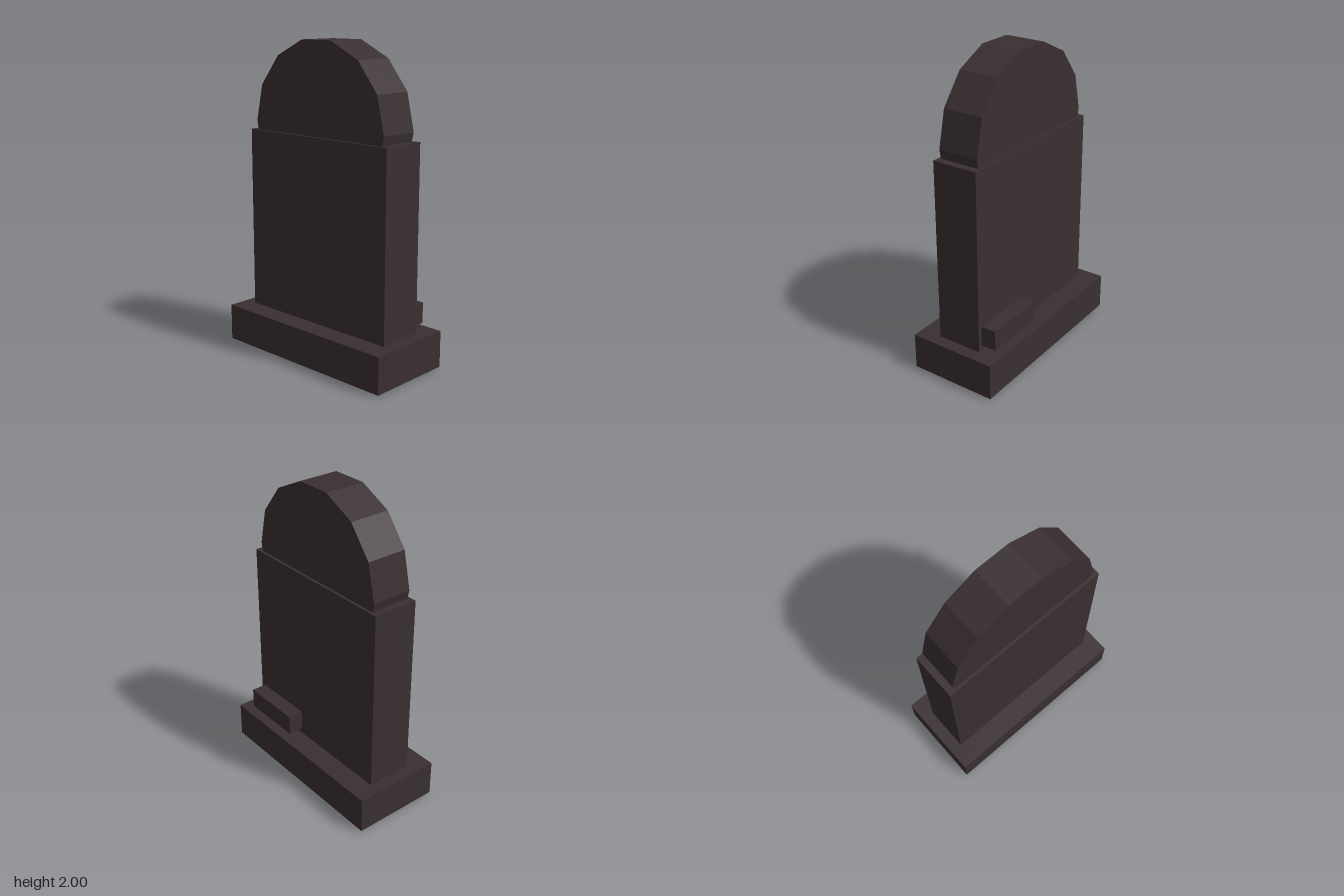
import * as THREE from 'three';

export function createModel() {
  const group = new THREE.Group();
  const stone = new THREE.MeshStandardMaterial({ color: 0x3a2f31 });
  stone.name = 'dark stone';

  const add = (name, geometry, x, y, z) => {
    const mesh = new THREE.Mesh(geometry, stone);
    mesh.name = name;
    mesh.position.set(x, y, z);
    group.add(mesh);
  };
  // box given by its minimum and maximum on each axis
  const addBox = (name, [x0, x1], [y0, y1], [z0, z1]) =>
    add(name, new THREE.BoxGeometry(x1 - x0, y1 - y0, z1 - z0),
      (x0 + x1) / 2, (y0 + y1) / 2, (z0 + z1) / 2);

  addBox('plinth', [-0.65, 0.65], [0.01, 0.245], [-0.29, 0.29]);
  addBox('slab', [-0.57, 0.57], [0, 1.423], [-0.15, 0.15]);
  addBox('rearLedge', [0.125, 0.54], [0.28, 0.413], [-0.25, -0.15]);

  // fourteen-sided disc with a flat on top, its lower half sunk into the slab
  const sides = 14, radius = 0.534;
  const disc = new THREE.CylinderGeometry(radius, radius, 0.265, sides, 1, false, Math.PI / sides)
    .rotateX(Math.PI / 2)
    .toNonIndexed();
  disc.computeVertexNormals();
  add('archedTop', disc, 0, 2 - radius * Math.cos(Math.PI / sides), 0);

  return group;
}
